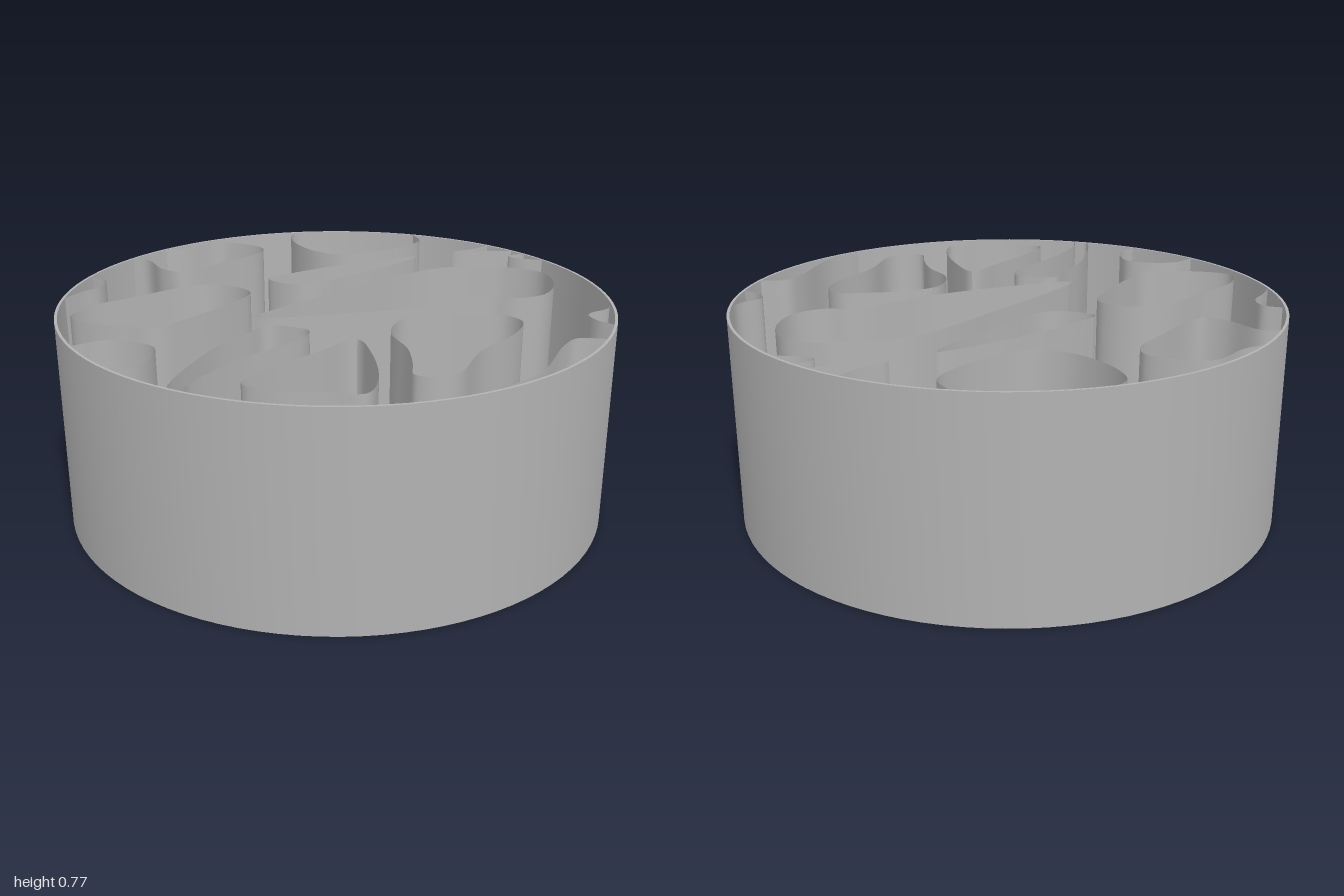
import * as THREE from 'three';
import { toCreasedNormals } from 'three/addons/utils/BufferGeometryUtils.js';

const HEIGHT = 0.77, INNER = 0.99, FLOOR = 0.01;
// Plan grid used for the cell outlines: 174 steps across, 73.5 steps deep per unit
const U = 1 / 174, V = 1 / 73.5;

const grey = new THREE.MeshStandardMaterial({ color: 0xb2b2b2, side: THREE.DoubleSide });
grey.name = 'plain grey';

// Smooth plan curve through x, z pairs, kept inside the round wall
function outline(pairs, closed) {
  const pts = [];
  for (let i = 0; i < pairs.length; i += 2) {
    const p = new THREE.Vector3(pairs[i] * U, 0, pairs[i + 1] * V);
    pts.push(p.clampLength(0, INNER));
  }
  return new THREE.CatmullRomCurve3(pts, closed, 'centripetal').getPoints(pts.length * 5);
}

// Thin upright wall following a plan curve
function wall(name, pairs, closed) {
  const pos = [], index = [];
  outline(pairs, closed).forEach((p, i) => {
    p.clampLength(0, INNER);
    pos.push(p.x, FLOOR, p.z, p.x, HEIGHT, p.z);
    if (i > 0) {
      const a = 2 * i - 2;
      index.push(a, a + 2, a + 1, a + 1, a + 2, a + 3);
    }
  });
  const geo = new THREE.BufferGeometry();
  geo.setAttribute('position', new THREE.Float32BufferAttribute(pos, 3));
  geo.setIndex(index);
  const mesh = new THREE.Mesh(toCreasedNormals(geo, 0.7), grey);
  mesh.name = name;
  return mesh;
}

export function createModel() {
  const model = new THREE.Group();
  model.name = 'cellDish';

  // Round dish: thin floor, thin side wall and rim
  const profile = [[0, 0], [1, 0], [1, HEIGHT], [INNER, HEIGHT], [INNER, FLOOR], [0, FLOOR]]
    .map(([r, y]) => new THREE.Vector2(r, y));
  const dish = new THREE.Mesh(toCreasedNormals(new THREE.LatheGeometry(profile, 96), 0.5), grey);
  dish.name = 'dish';
  model.add(dish);

  const cells = new THREE.Group();
  cells.name = 'cells';
  cells.rotation.y = THREE.MathUtils.degToRad(35);
  model.add(cells);
  const closedCell = (name, ...pairs) => cells.add(wall(name, pairs, true));
  const edgeCell = (name, ...pairs) => cells.add(wall(name, pairs, false));

  // Free-standing closed cells
  closedCell('largeCentreCell', 98, 42, 91, 52, 66, 56, 41, 54, 29, 47, 28, 39, -4, 22,
    -29, 2, -45, -17, -14, -10, 26, 2, 66, 14, 88, 24, 97, 37);
  closedCell('backLeftCell', 14, -37, 12, -29, 2, -24, -19, -26, -54, -33, -76, -39, -78, -46,
    -77, -56, -69, -63, -49, -62, -19, -52, 6, -43);
  closedCell('lensCell', 111, 14, 87, 9, 52, -2, 28, -11, 28, -18, 35, -23, 43, -21, 72, -9, 102, 7);
  closedCell('leftCell', -70, 12, -89, 17, -129, 22, -149, 21, -152, 12, -155, 0, -150, -7,
    -134, -5, -94, 5);
  closedCell('frontLeftCell', -8, 46, -17, 50, -39, 49, -74, 42, -109, 39, -118, 35, -117, 29,
    -104, 28, -79, 25, -54, 19, -29, 20, -17, 27, -9, 40);

  // Cells cut off by the round wall
  edgeCell('backRightEdgeCell', 62, -69, 60, -63, 42, -56, 37, -50, 42, -47, 72, -39, 97, -33,
    110, -34, 119, -45, 117, -50, 97, -57, 91, -63);
  edgeCell('backEdgeCell', -35, -72, -20, -69, -6, -66, 7, -67, 12, -72);
  edgeCell('rightEdgeCell', 167, -20, 161, -27, 151, -29, 131, -26, 111, -18, 105, -11, 106, -6,
    118, 1, 136, 8, 156, 12, 172, 9);
  edgeCell('leftWedgeCell', -166, -21, -163, -22, -104, -20, -72, -15, -57, -12, -57, -6, -61, -1,
    -74, -1, -114, -11, -155, -18, -168, -18);
  edgeCell('frontLeftEdgeCell', -129, 51, -98, 57, -54, 61, -40, 64, -38, 72);
  edgeCell('frontEdgeCell', -11, 74, -4, 68, 6, 66, 21, 71, 38, 73);
  edgeCell('smallEdgeCell', 124, 52, 123, 44, 127, 41, 133, 43, 136, 46);
  edgeCell('rightWedgeCell', 155, 34, 142, 30, 129, 24, 130, 28, 137, 34, 144, 42);
  edgeCell('backLeftEdgeCell', -151, -37, -138, -33, -123, -32, -108, -34, -102, -41, -104, -48,
    -113, -52, -118, -54);

  return model;
}
